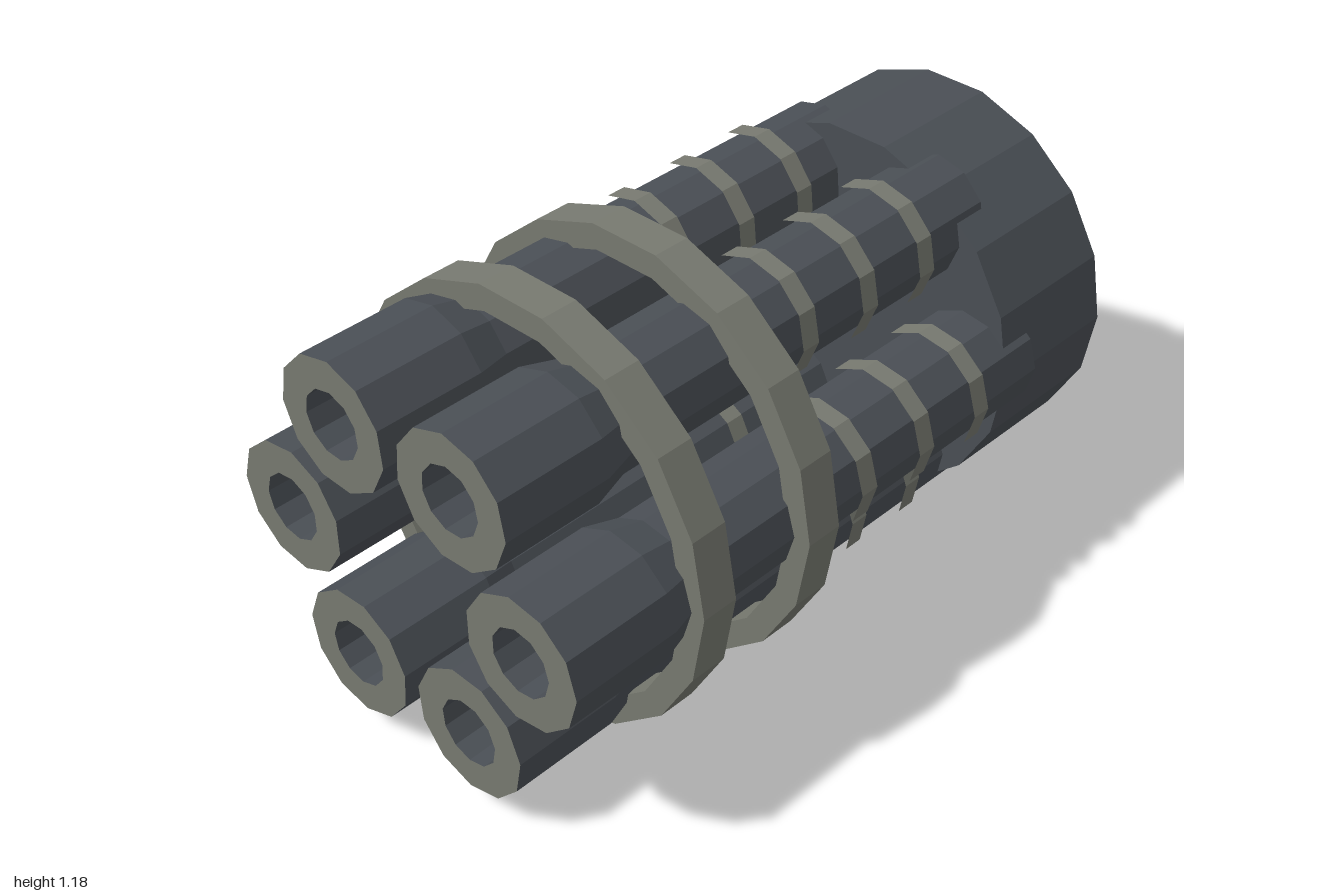
import * as THREE from 'three';

const CENTRE_Y = 0.591;
const BARREL_COUNT = 6;
const BARREL_SIDES = 11;
const HOUSING_SIDES = 18;

export function createModel() {
  const gunmetal = new THREE.MeshStandardMaterial({ color: 0x4a4f55, flatShading: true });
  gunmetal.name = 'dark gunmetal';
  const steel = new THREE.MeshStandardMaterial({ color: 0x777970, flatShading: true });
  steel.name = 'warm grey steel';

  // Revolves a [radius, z] profile about z, with one corner pointing to +x
  const turn = (profile, sides) => {
    const points = profile.map(([r, z]) => new THREE.Vector2(r, z));
    return new THREE.LatheGeometry(points, sides, Math.PI / 2).rotateX(Math.PI / 2);
  };
  const add = (parent, name, geometry, material) => {
    const mesh = new THREE.Mesh(geometry, material);
    mesh.name = name;
    parent.add(mesh);
    return mesh;
  };

  const model = new THREE.Group();
  model.name = 'rotaryBarrelCluster';
  const cluster = new THREE.Group();
  cluster.name = 'cluster';
  cluster.position.y = CENTRE_Y;
  model.add(cluster);

  // Rear housing drum
  add(cluster, 'rearHousing',
    turn([[0, -1], [0.53, -1], [0.53, -0.59], [0, -0.59]], HOUSING_SIDES), gunmetal);

  // Two clamp rings around all the barrels
  for (const [name, z] of [['frontClampRing', 0.568], ['rearClampRing', 0.207]]) {
    const back = z - 0.053, front = z + 0.053;
    add(cluster, name, turn([
      [0.53, back], [0.6, back], [0.6, front], [0.53, front], [0.53, back],
    ], HOUSING_SIDES), steel);
  }

  // Shared barrel geometry: tube with flared muzzle, bore, muzzle face and bands
  const tube = turn([[0, -0.69], [0.152, -0.69], [0.152, 0.59], [0.179, 0.69], [0.179, 1]], BARREL_SIDES);
  const muzzleFace = turn([[0.179, 1], [0.092, 1]], BARREL_SIDES);
  const bore = turn([[0.092, 1], [0.088, 0.6], [0, 0.6]], BARREL_SIDES);
  const band = turn([[0.17, -0.028], [0.17, 0.028]], BARREL_SIDES);

  for (let i = 0; i < BARREL_COUNT; i++) {
    const spoke = new THREE.Group();
    spoke.name = `barrelSpoke${i + 1}`;
    spoke.rotation.z = (i / BARREL_COUNT) * Math.PI * 2;
    cluster.add(spoke);

    const barrel = new THREE.Group();
    barrel.name = `barrel${i + 1}`;
    barrel.position.x = 0.4;
    spoke.add(barrel);

    add(barrel, 'barrelTube', tube, gunmetal);
    add(barrel, 'muzzleFace', muzzleFace, steel);
    add(barrel, 'bore', bore, gunmetal);
    for (const z of [0.003, -0.218, -0.438]) {
      add(barrel, 'barrelBand', band, steel).position.z = z;
    }
  }

  return model;
}
